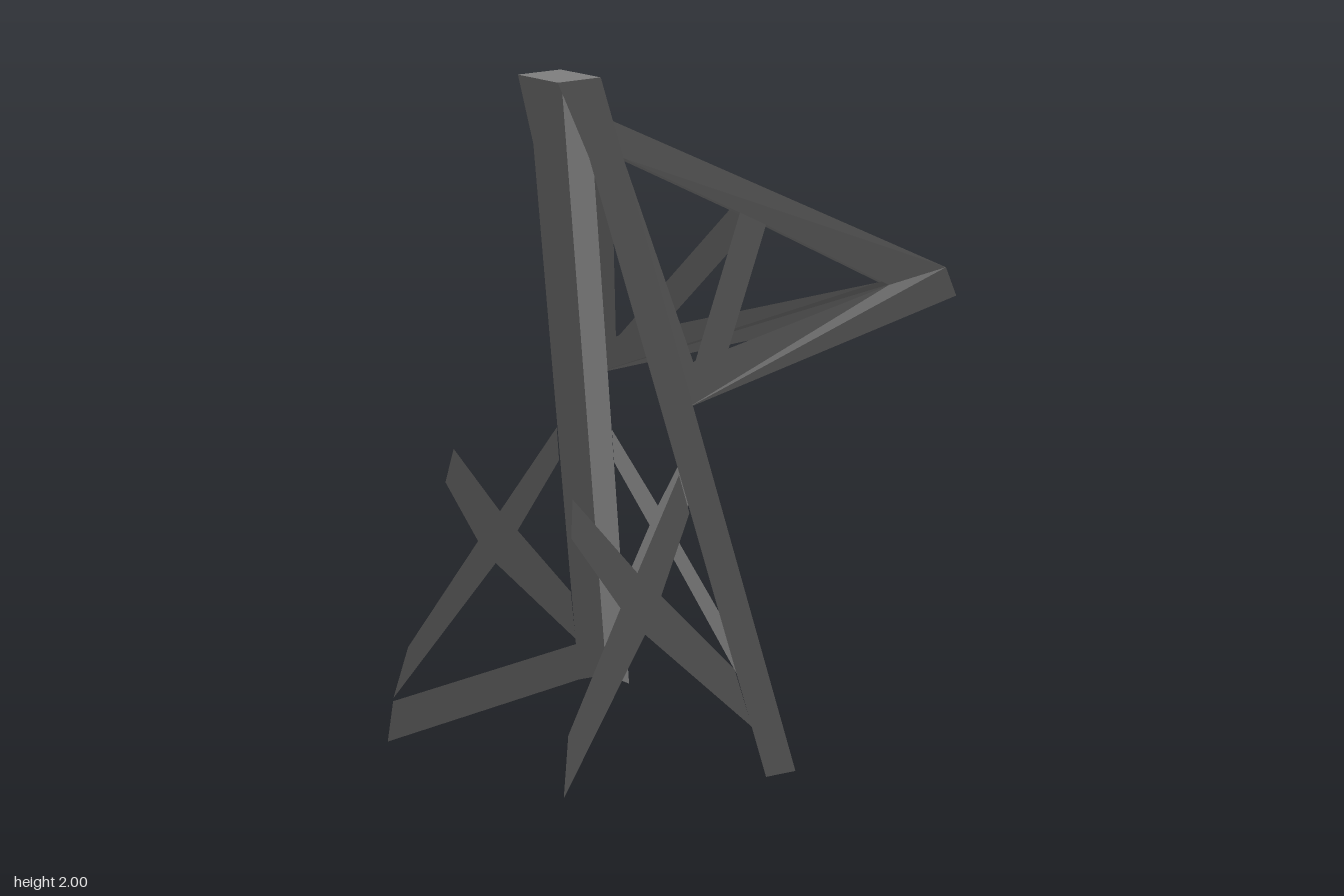
import * as THREE from 'three';

export function createModel() {
  const model = new THREE.Group();
  const steel = new THREE.MeshStandardMaterial({ color: 0x808080, side: THREE.DoubleSide });
  steel.name = 'greySteel';

  const toPoints = (list) => list.map(([u, v]) => new THREE.Vector2(u, v));

  // Sheet cut from an outline (u, height) and laid onto a sloping face by place(u, y)
  function sheet(name, outline, place, holes = []) {
    const shape = new THREE.Shape(toPoints(outline));
    holes.forEach((h) => shape.holes.push(new THREE.Path(toPoints(h))));
    const geometry = new THREE.ShapeGeometry(shape).toNonIndexed();
    const pos = geometry.attributes.position;
    for (let i = 0; i < pos.count; i++) {
      pos.setXYZ(i, ...place(pos.getX(i), pos.getY(i)));
    }
    geometry.computeVertexNormals();
    const mesh = new THREE.Mesh(geometry, steel);
    mesh.name = name;
    model.add(mesh);
  }

  // Leaning faces of the tower
  const sideFace = (s) => (x, y) => [x, y, s * (0.45 - 0.18 * y)];
  const armFace = (s) => (z, y) => [-0.13 - 0.195 * y, y, s * z];
  // Arm sides spread downwards from the ridge
  const armSide = (s) => (x, y) => [x, y, s * Math.max(0, 0.2985 * (1.9 - 0.521 * (x + 0.5) - y))];

  for (const s of [1, -1]) {
    const side = s > 0 ? 'front' : 'back';

    // Angle-section leg: two sheets meeting at the outer corner
    sheet(side + 'LegSide', [[-0.13, 0], [-0.52, 2], [-0.66, 2], [-0.59, 1.8], [-0.24, 0.015]], sideFace(s));
    sheet(side + 'LegFace', [[0.45, 0], [0.09, 2], [0, 2], [0, 1.83], [0.33, 0.01]], armFace(s));

    // Cross brace reaching out from the leg
    sheet(side + 'CrossBrace', [
      [-0.93, 0.16], [-0.6, 0.52], [-0.27, 0.17], [-0.307, 0.345], [-0.53, 0.61], [-0.4, 0.81],
      [-0.42, 0.92], [-0.6, 0.69], [-0.78, 0.93], [-0.8, 0.83], [-0.67, 0.61], [-0.89, 0.32],
    ], sideFace(s));

    // Arm side with two triangular openings, leaving a diagonal strut
    sheet(side + 'ArmSide',
      [[-0.5, 1.9], [-0.34, 1.08], [0.94, 1.15], [0.89, 1.25]], armSide(s),
      [
        [[-0.4, 1.76], [0.02, 1.55], [-0.27, 1.195], [-0.28, 1.193]],
        [[0.12, 1.5], [0.62, 1.24], [-0.13, 1.2]],
      ]);
  }

  // Cross brace between the legs
  sheet('middleCrossBrace', [
    [-0.3, 0.17], [0, 0.6], [0.3, 0.17], [0.263, 0.37], [0.06, 0.64], [0.184, 0.81],
    [0.164, 0.92], [0, 0.72], [-0.164, 0.92], [-0.184, 0.81], [-0.06, 0.64], [-0.263, 0.37],
  ], armFace(1));

  // Foot bar on the back side only
  sheet('footBar', [[-0.94, 0.015], [-0.24, 0.015], [-0.265, 0.15], [-0.93, 0.15]], sideFace(-1));

  // Cap closing the top
  sheet('topCap', [[-0.66, -0.09], [-0.52, -0.09], [-0.52, 0.09], [-0.66, 0.09]], (x, v) => [x, 2, -v]);

  return model;
}
